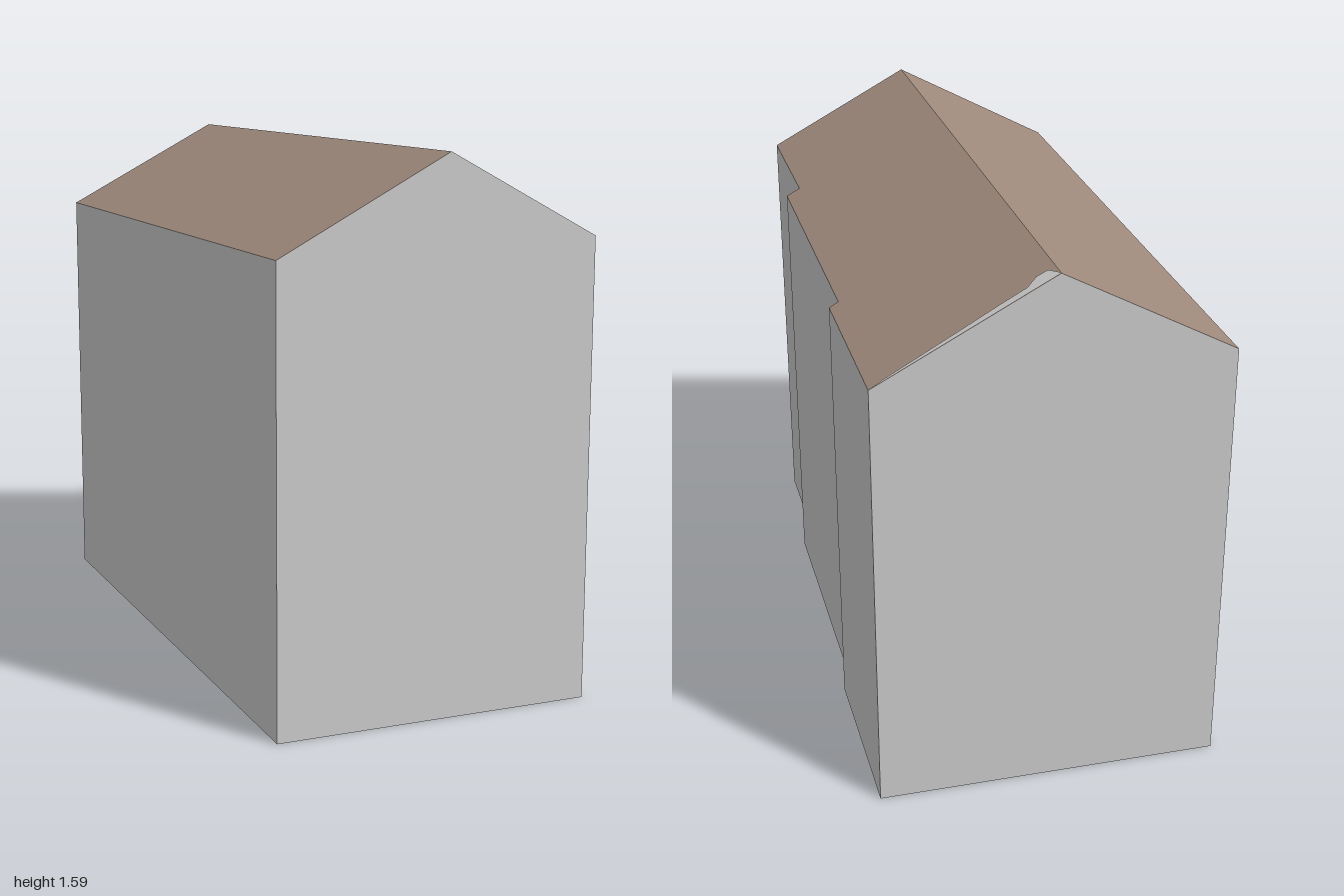
import * as THREE from 'three';

// Plan outline (x, z), counterclockwise from above; the ridge ends are part of it
const ridgeFront = [0.115, 0.957], ridgeBack = [-0.065, -0.957];
const westSide = [[-0.565, -0.915], [-0.385, 1]];
const eastSide = [
  [0.563, 0.92], [0.516, 0.457], [0.558, 0.453],
  [0.47, -0.447], [0.497, -0.452], [0.443, -1],
];
const outline = [westSide[1], ridgeFront, ...eastSide, ridgeBack, westSide[0]];

// Roof height falls evenly with distance from the ridge line
const RIDGE_Y = 1.588, PITCH = 0.536;
function roofY([x, z]) {
  const dx = ridgeFront[0] - ridgeBack[0], dz = ridgeFront[1] - ridgeBack[1];
  const d = ((x - ridgeBack[0]) * dz - (z - ridgeBack[1]) * dx) / Math.hypot(dx, dz);
  return RIDGE_Y - PITCH * Math.abs(d);
}

function mesh(name, positions, material) {
  const geo = new THREE.BufferGeometry();
  geo.setAttribute('position', new THREE.Float32BufferAttribute(positions, 3));
  geo.computeVertexNormals();
  const m = new THREE.Mesh(geo, material);
  m.name = name;
  return m;
}

// Fills a plan polygon, lifting each corner to height(p)
function sheet(points, height, faceDown = false) {
  const flat = points.map(([x, z]) => new THREE.Vector2(x, -z));
  return THREE.ShapeUtils.triangulateShape(flat, []).flatMap((tri) =>
    (faceDown ? [...tri].reverse() : tri).flatMap((i) => [points[i][0], height(points[i]), points[i][1]]));
}

// One upright wall panel per outline edge, meeting the roof at the top
function wallPanels() {
  return outline.flatMap((a, i) => {
    const b = outline[(i + 1) % outline.length];
    const a0 = [a[0], 0, a[1]], b0 = [b[0], 0, b[1]];
    const a1 = [a[0], roofY(a), a[1]], b1 = [b[0], roofY(b), b[1]];
    return [a0, b0, b1, a0, b1, a1].flat();
  });
}

export function createModel() {
  const wall = new THREE.MeshStandardMaterial({ color: 0xcccccc });
  wall.name = 'wall grey';
  const roof = new THREE.MeshStandardMaterial({ color: 0xa08b7d });
  roof.name = 'roof brown';

  const house = new THREE.Group();
  house.name = 'house';
  house.add(
    mesh('walls', wallPanels(), wall),
    mesh('floor', sheet(outline, () => 0, true), wall),
    mesh('eastRoof', sheet([ridgeFront, ...eastSide, ridgeBack], roofY), roof),
    mesh('westRoof', sheet([ridgeBack, ...westSide, ridgeFront], roofY), roof),
  );

  // Ragged grey strip along the back verge of the east slope
  const verge = [
    ridgeBack, [-0.04, -0.908], [-0.01, -0.908], [0.02, -0.937],
    [0.09, -0.945], [0.2, -0.962], [0.4, -0.99], [0.443, -1],
  ];
  house.add(mesh('backVerge', sheet(verge, (p) => roofY(p) + 0.002), wall));
  return house;
}
